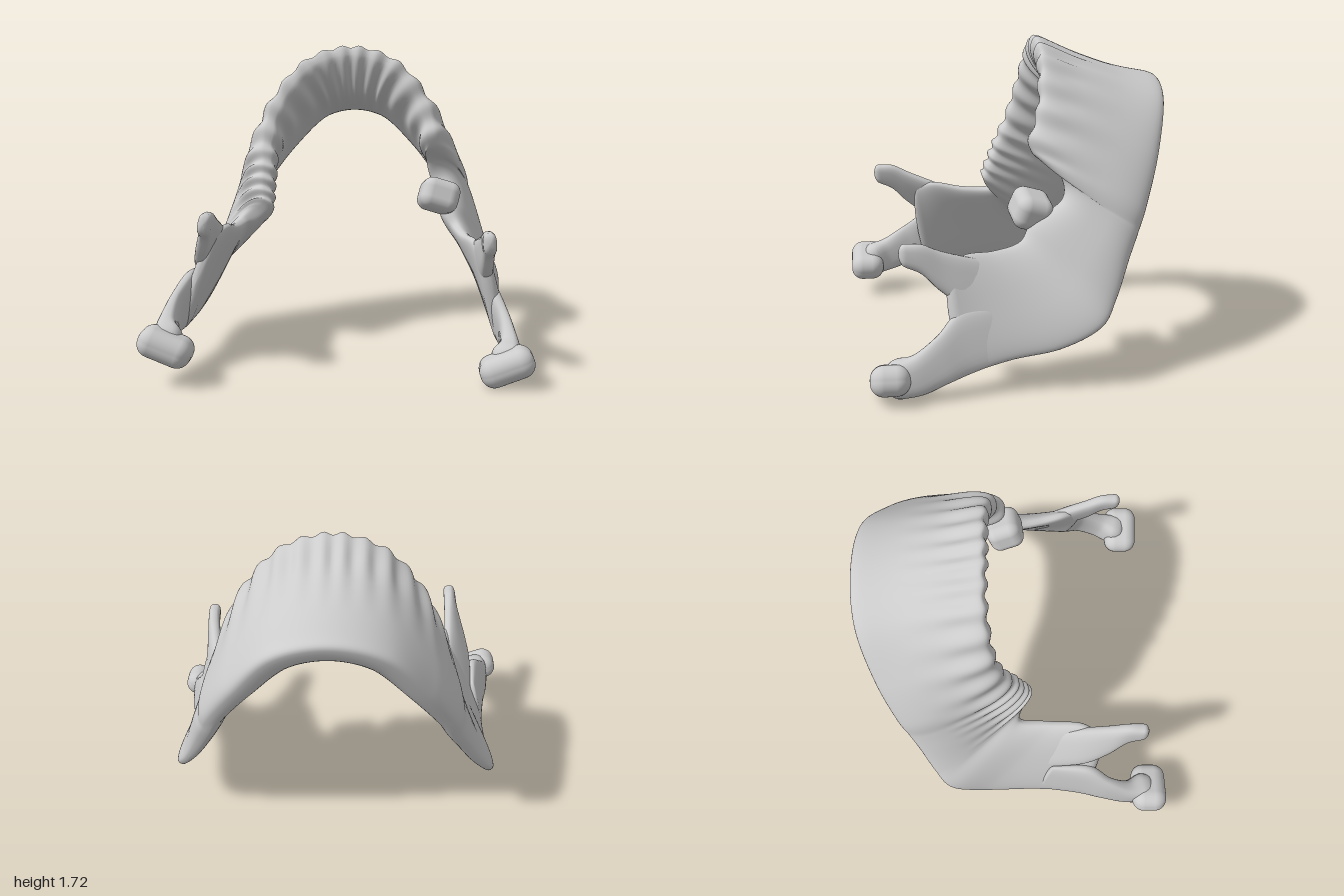
import * as THREE from 'three';
import { RoundedBoxGeometry } from 'three/addons/geometries/RoundedBoxGeometry.js';

const V = (x, y, z) => new THREE.Vector3(x, y, z);
const smooth = THREE.MathUtils.smoothstep;

// Place a left-side point on either side; the right branch sits a little further forward and higher
function place([x, y, z], side) {
  if (side > 0) return V(x, y, z);
  const k = smooth(z, -0.2, 0.5);
  const low = 0.03 * (1 - smooth(y, 0.45, 0.85)) - 0.08 * k * smooth(y, 0.4, 0.7);
  return V(-x - low, y + 0.1 * k, z + 0.1 * k);
}

// Station: lower edge, upper edge, half thickness at each edge, outward bow
const station = ([lo, up, tLo, tUp, bow = 0], side) =>
  ({ lo: place(lo, side), up: place(up, side), t: V(tLo, tUp, bow) });

// Smooth interpolation of the stations, giving a local frame at u = 0..1
function makeFrame(stations) {
  const curve = k => new THREE.CatmullRomCurve3(stations.map(s => s[k]), false, 'catmullrom', 0.5);
  const lo = curve('lo'), up = curve('up'), t = curve('t');
  const mid = u => lo.getPoint(u).add(up.getPoint(u)).multiplyScalar(0.5);
  return u => {
    const span = up.getPoint(u).sub(lo.getPoint(u)), h = 0.015;
    const T = mid(Math.min(1, u + h)).sub(mid(Math.max(0, u - h))).normalize();
    const N = span.clone().cross(T).normalize();
    return { centre: mid(u), span, T, N, t: t.getPoint(u) };
  };
}

// Flattened rounded cross-sections swept through the stations, with domed ends
function loft(stations, steps, around, ripple = () => 0) {
  const frame = makeFrame(stations);
  const samples = [];
  for (let k = 5; k > 0; k--) samples.push([0, k / 5, -1]);
  for (let i = 0; i <= steps; i++) samples.push([i / steps, 0, 0]);
  for (let k = 1; k <= 5; k++) samples.push([1, k / 5, 1]);
  const pos = [], idx = [];
  const soft = v => Math.sign(v) * Math.pow(Math.abs(v), 0.7);
  samples.forEach(([u, k, dir], i) => {
    const f = frame(u), r = Math.max(0.001, Math.cos(k * Math.PI / 2));
    const c = f.centre.clone().addScaledVector(f.T, dir * Math.sin(k * Math.PI / 2) * f.t.x);
    for (let j = 0; j < around; j++) {
      const a = j / around * Math.PI * 2, s = (1 - Math.cos(a)) / 2;
      const wave = ripple(u) * smooth(s, 0.4, 0.8);
      const n = (f.t.x + (f.t.y - f.t.x) * s + wave) * soft(Math.sin(a)) + f.t.z * Math.sin(a) ** 2;
      const p = c.clone().addScaledVector(f.span, -0.5 * r * soft(Math.cos(a)) + wave).addScaledVector(f.N, n * r);
      pos.push(p.x, p.y, p.z);
      if (i < samples.length - 1) {
        const j2 = (j + 1) % around, A = i * around, B = A + around;
        idx.push(A + j, A + j2, B + j, A + j2, B + j2, B + j);
      }
    }
  });
  const g = new THREE.BufferGeometry();
  g.setAttribute('position', new THREE.Float32BufferAttribute(pos, 3));
  g.setIndex(idx);
  g.computeVertexNormals();
  return g;
}

export function createModel() {
  const model = new THREE.Group();
  model.name = 'jawbone';
  const bone = new THREE.MeshStandardMaterial({ color: 0xcccccc });
  const add = (geometry, name) => {
    const m = new THREE.Mesh(geometry, bone);
    m.name = name;
    model.add(m);
    return m;
  };

  // Arch with its tooth ridge, and rami: stations from the chin back to the notch
  const chin = [[0, 1.45, -0.86], [0, 1.70, -0.17], 0.13, 0.085, -0.085];
  const branch = side => {
    const pick = (left, right) => side > 0 ? left : right;
    return [
      [[0.26, 1.37, -0.84], [0.25, 1.62, -0.17], 0.125, 0.085, -0.07],
      [[0.46, 1.12, -0.765], [0.42, 1.40, -0.14], 0.11, 0.085, -0.02],
      [[0.61, 0.89, -0.675], [0.47, 1.19, -0.09], 0.095, 0.09, 0.01],
      [[0.66, 0.77, -0.625], pick([0.49, 1.06, -0.24], [0.47, 1.06, -0.04]), 0.085, 0.09, 0.015],
      [[0.71, 0.65, -0.57], pick([0.53, 0.93, -0.25], [0.475, 0.93, 0.0]), 0.075, 0.09, 0.015],
      [[0.79, 0.47, -0.49], pick([0.55, 0.82, -0.09], [0.48, 0.82, 0.03]), 0.06, 0.085, 0.01],
      [[0.86, 0.345, -0.40], [0.60, 0.73, -0.02], 0.05, 0.06],
      [[0.855, 0.24, -0.20], [0.64, 0.70, 0.12], 0.045, 0.05],
      [[0.845, 0.19, 0.05], [0.68, 0.70, 0.26], 0.045, 0.045],
      [[0.855, 0.13, 0.28], [0.73, 0.66, 0.35], 0.045, 0.04],
    ].map(s => station(s, side));
  };
  // Tooth crowns and roots ripple the ridge, further back on the right
  const teeth = u => {
    const s = u * 20 - 10;
    const reach = smooth(s, -6.3, -5.7) * (1 - smooth(s, 2.9, 3.4));
    const pitch = 0.36 + 0.05 * Math.min(Math.abs(s), 4);
    return -0.012 * Math.cos(Math.PI * 2 * s / pitch) * reach;
  };
  add(loft([...branch(-1).reverse(), station(chin, 1), ...branch(1)], 360, 56, teeth), 'archAndRami');

  // Lone tilted molar behind the gap on the left
  const molar = add(new RoundedBoxGeometry(0.22, 0.18, 0.2, 4, 0.06), 'looseMolar');
  molar.position.set(0.51, 0.88, -0.09);
  molar.rotation.set(-0.3, 0.2, -0.25);

  for (const side of [1, -1]) {
    const name = side > 0 ? 'left' : 'right';

    // Pointed prong in front of the notch
    const coronoid = [
      [[0.77, 0.42, 0.10], [0.68, 0.66, 0.14], 0.02, 0.02],
      [[0.77, 0.46, 0.28], [0.71, 0.70, 0.28], 0.04, 0.035],
      [[0.765, 0.54, 0.40], [0.735, 0.74, 0.40], 0.04, 0.035],
      [[0.765, 0.63, 0.49], [0.75, 0.78, 0.49], 0.035, 0.035],
      [[0.765, 0.67, 0.57], [0.755, 0.785, 0.57], 0.035, 0.035],
    ].map(s => station(s, side));
    add(loft(coronoid, 28, 24), name + 'CoronoidProng');

    // Neck behind the notch
    const neck = [
      [[0.845, 0.19, 0.08], [0.79, 0.46, 0.14], 0.02, 0.02],
      [[0.86, 0.13, 0.27], [0.80, 0.44, 0.31], 0.042, 0.04],
      [[0.88, 0.095, 0.38], [0.85, 0.34, 0.42], 0.045, 0.035],
      [[0.88, 0.05, 0.49], [0.87, 0.25, 0.54], 0.06, 0.05],
      [[0.86, 0.03, 0.59], [0.85, 0.22, 0.63], 0.085, 0.08],
    ].map(s => station(s, side));
    add(loft(neck, 28, 28), name + 'Neck');

    // Hinge knob
    const knob = add(new RoundedBoxGeometry(0.285, 0.155, 0.2, 6, 0.07), name + 'Condyle');
    knob.position.copy(place([0.85, 0.115, 0.66], side));
    knob.rotation.z = side * 0.38;
  }
  return model;
}
